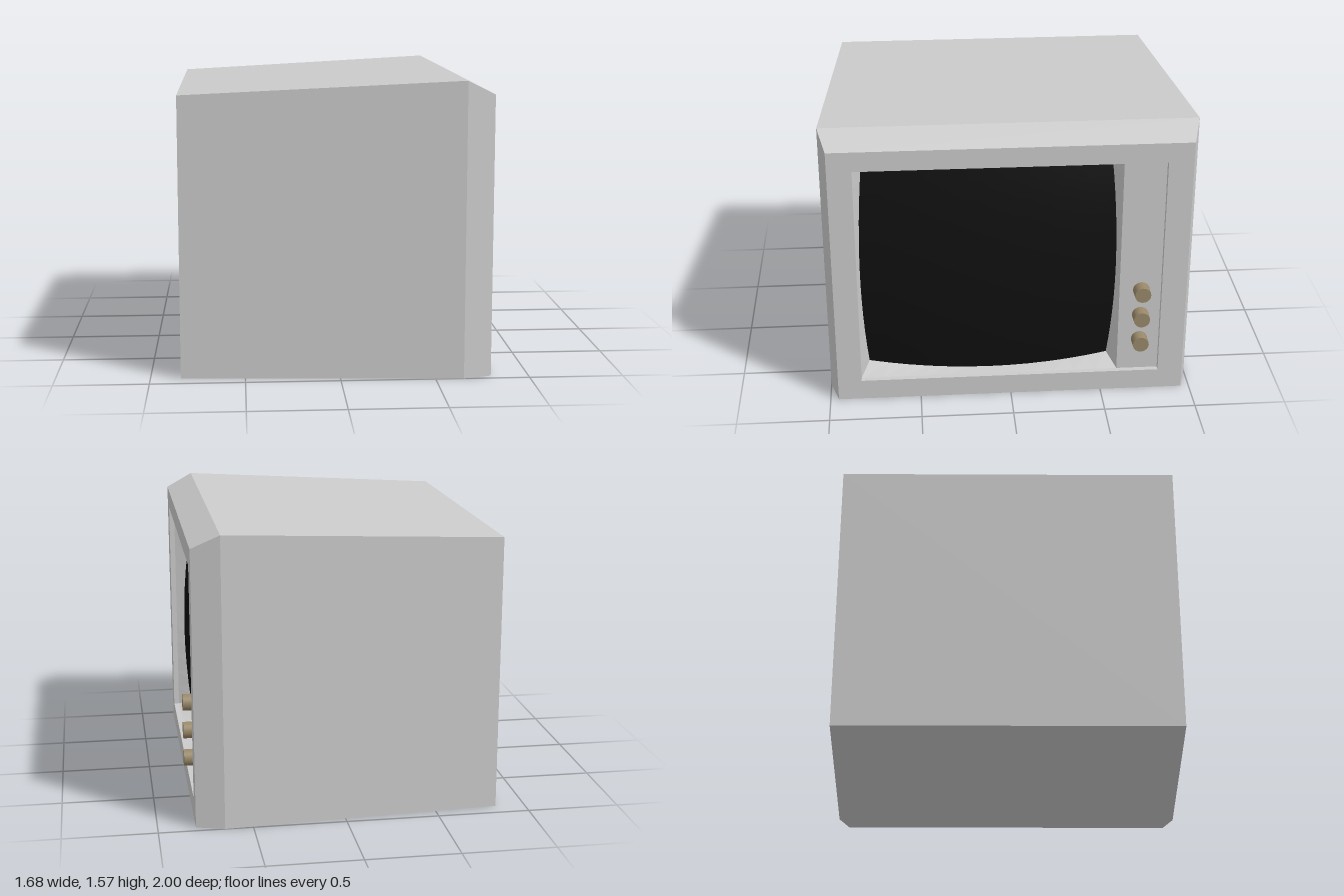
import * as THREE from 'three';

const grey = new THREE.MeshStandardMaterial({ color: 0xcccccc });
const black = new THREE.MeshStandardMaterial({ color: 0x101010 });
const brass = new THREE.MeshStandardMaterial({ color: 0x99886a });

// Rectangle in the plane x, anticlockwise as seen from +x
const rect = (x, y0, y1, zLeft, zRight) => [
  [x, y0, zLeft], [x, y0, zRight], [x, y1, zRight], [x, y1, zLeft],
];

// Flat-shaded skin through a list of closed rings; optional cap on the first
function loft(rings, capStart = false) {
  const p = [];
  for (let r = 0; r < rings.length - 1; r++) {
    const a = rings[r], b = rings[r + 1];
    for (let i = 0; i < a.length; i++) {
      const j = (i + 1) % a.length;
      p.push(...a[i], ...a[j], ...b[j], ...a[i], ...b[j], ...b[i]);
    }
  }
  if (capStart) {
    const a = rings[0];
    for (let i = 1; i < a.length - 1; i++) p.push(...a[0], ...a[i + 1], ...a[i]);
  }
  const g = new THREE.BufferGeometry();
  g.setAttribute('position', new THREE.Float32BufferAttribute(p, 3));
  g.computeVertexNormals();
  return g;
}

// Tube face: u runs towards -z, v runs up, both from -1 to 1
const MID_Y = 0.75, MID_Z = 0.116, STEPS = 12;
const domePoint = (u, v) => [
  0.76 - 0.0575 * (u * u + v * v),
  MID_Y + v * (0.6 + 0.033 * (1 - u * u)),
  MID_Z - u * (0.665 + 0.029 * (1 - v * v)),
];
const framePoint = (u, v) => [0.77, MID_Y + v * 0.635, MID_Z - u * 0.709];

// Walk round the edge of the u, v square
function edgeRing(point) {
  const ring = [];
  const corners = [[-1, -1], [1, -1], [1, 1], [-1, 1]];
  corners.forEach(([u, v], k) => {
    const [u2, v2] = corners[(k + 1) % 4];
    for (let i = 0; i < STEPS; i++) {
      const t = i / STEPS;
      ring.push(point(u + (u2 - u) * t, v + (v2 - v) * t));
    }
  });
  return ring;
}

export function createModel() {
  const group = new THREE.Group();
  const add = (name, geometry, material) => {
    const mesh = new THREE.Mesh(geometry, material);
    mesh.name = name;
    group.add(mesh);
    return mesh;
  };

  // Tapered cabinet, chamfered front and shallow recess
  add('cabinet', loft([
    rect(-0.84, 0, 1.495, 0.907, -0.907),
    rect(0.65, 0, 1.57, 1, -1),
    rect(0.8, 0, 1.495, 0.955, -0.955),
    rect(0.8, 0.115, 1.385, 0.825, -0.82),
    rect(0.77, 0.115, 1.385, 0.825, -0.82),
  ], true), grey);

  // Sloping surround from the straight frame to the curved screen edge
  add('screenSurround', loft([edgeRing(framePoint), edgeRing(domePoint)]), grey);

  // Bulging screen
  const screen = new THREE.PlaneGeometry(2, 2, STEPS, STEPS);
  const pos = screen.attributes.position;
  for (let i = 0; i < pos.count; i++) {
    pos.setXYZ(i, ...domePoint(pos.getX(i), pos.getY(i)));
  }
  screen.computeVertexNormals();
  add('screen', screen, black);

  // Control panel beside the screen
  const panel = new THREE.PlaneGeometry(0.227, 1.27).rotateY(Math.PI / 2);
  add('controlPanel', panel, grey).position.set(0.77, MID_Y, -0.7065);

  // Knobs
  const knob = new THREE.CylinderGeometry(0.044, 0.045, 0.07, 24).rotateZ(-Math.PI / 2);
  [0.615, 0.46, 0.305].forEach((y, i) => {
    add(`knob${i + 1}`, knob, brass).position.set(0.805, y, -0.712);
  });

  return group;
}
